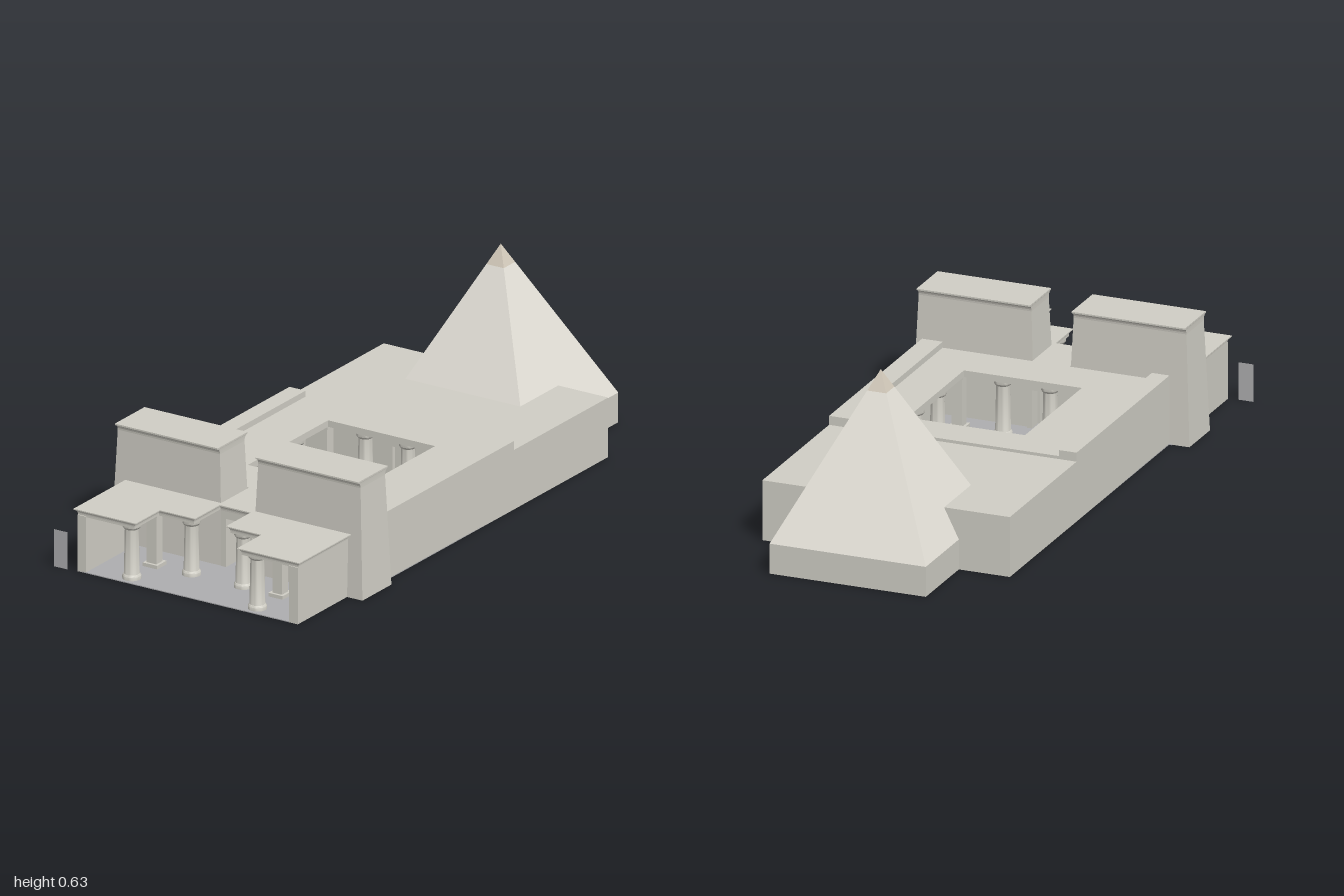
import * as THREE from 'three';
import { toCreasedNormals } from 'three/addons/utils/BufferGeometryUtils.js';

const mat = (color, extra = {}) => new THREE.MeshStandardMaterial({ color, ...extra });
const stone = mat(0xd0cec5, { flatShading: true });
const smoothStone = mat(0xd0cec5);
const casing = mat(0xe3e0d7, { flatShading: true });
const capStone = mat(0xd3cabb, { flatShading: true });
const paving = mat(0xaeaeb0);
const thin = mat(0xaeaeb0, { side: THREE.DoubleSide });

function add(parent, name, geometry, material = stone) {
  const mesh = new THREE.Mesh(geometry, material);
  mesh.name = name;
  parent.add(mesh);
  return mesh;
}

// Box given by its limits on each axis
function block(parent, name, [x0, x1], [y0, y1], [z0, z1], material = stone) {
  const g = new THREE.BoxGeometry(x1 - x0, y1 - y0, z1 - z0);
  g.translate((x0 + x1) / 2, (y0 + y1) / 2, (z0 + z1) / 2);
  return add(parent, name, g, material);
}

// Loft of an outline of [x, z, xSign, zSign]; each level [dx, dz, y] shifts the corners by their signs
function loft(outline, levels) {
  const flat = outline.map(p => new THREE.Vector2(p[0], p[1]));
  const pts = THREE.ShapeUtils.area(flat) < 0 ? [...outline].reverse() : outline;
  const rings = levels.map(([dx, dz, y]) => pts.map(([x, z, sx, sz]) => [x + sx * dx, y, z + sz * dz]));
  const pos = [];
  for (let l = 0; l < rings.length - 1; l++) {
    for (let i = 0; i < pts.length; i++) {
      const j = (i + 1) % pts.length;
      const [a0, b0, a1, b1] = [rings[l][i], rings[l][j], rings[l + 1][i], rings[l + 1][j]];
      pos.push(...a0, ...a1, ...b1, ...a0, ...b1, ...b0);
    }
  }
  const top = rings[rings.length - 1];
  const faces = THREE.ShapeUtils.triangulateShape(pts.map(p => new THREE.Vector2(p[0], p[1])), []);
  for (const [a, b, c] of faces) {
    pos.push(...rings[0][a], ...rings[0][b], ...rings[0][c]);
    pos.push(...top[a], ...top[c], ...top[b]);
  }
  const g = new THREE.BufferGeometry();
  g.setAttribute('position', new THREE.Float32BufferAttribute(pos, 3));
  g.computeVertexNormals();
  return g;
}

const rect = (x0, x1, z0, z1) => [[x0, z0, -1, -1], [x1, z0, 1, -1], [x1, z1, 1, 1], [x0, z1, -1, 1]];

// Concave flared cornice levels between two heights
function cavetto(y0, y1, fx, fz) {
  const levels = [[0, 0, y0]];
  const h = (y1 - y0) * 0.8;
  for (let i = 1; i <= 5; i++) {
    const a = (i / 5) * Math.PI / 2;
    const f = 1 - Math.cos(a);
    levels.push([fx * f, fz * f, y0 + h * Math.sin(a)]);
  }
  levels.push([fx, fz, y1]);
  return levels;
}

const columnProfile = [[0, 0], [0.03, 0], [0.03, 0.014], [0.027, 0.019], [0.025, 0.02], [0.022, 0.17],
  [0.025, 0.172], [0.029, 0.178], [0.029, 0.19], [0, 0.19]].map(p => new THREE.Vector2(...p));
const columnGeometry = toCreasedNormals(new THREE.LatheGeometry(columnProfile, 24), 0.6);

function column(parent, x, z) {
  add(parent, 'column', columnGeometry, smoothStone).position.set(x, 0, z);
}

function pillar(parent, x, z) {
  const g = new THREE.Group();
  g.name = 'squarePillar';
  g.position.set(x, 0, z);
  for (const [r, y0, y1] of [[0.027, 0, 0.015], [0.018, 0.015, 0.175], [0.025, 0.175, 0.19]])
    block(g, 'pillarBlock', [-r, r], [y0, y1], [-r, r]);
  parent.add(g);
}

// Door frame with two jambs, a lintel and a cornice
function portal(parent, name, x0, x1, h, z0, z1, jamb) {
  const g = new THREE.Group();
  g.name = name;
  const head = h - 0.045;
  block(g, 'jamb', [x0, x0 + jamb], [0, head], [z0, z1]);
  block(g, 'jamb', [x1 - jamb, x1], [0, head], [z0, z1]);
  block(g, 'lintel', [x0, x1], [head, h - 0.02], [z0, z1]);
  add(g, 'doorCornice', loft(rect(x0, x1, z0, z1), cavetto(h - 0.02, h, 0.006, 0.008)));
  parent.add(g);
}

// One half of the entrance: pylon tower and portico
function entranceHalf(side) {
  const g = new THREE.Group();
  g.name = side > 0 ? 'leftEntrance' : 'rightEntrance';
  g.position.x = 0.0125;
  g.scale.x = side;

  // Battered tower with cornice on front and back
  add(g, 'pylonTower', loft(rect(0.056, 0.47, 0.545, 0.71), [[0, 0, 0], [-0.0155, -0.013, 0.37]]));
  add(g, 'pylonCornice', loft(rect(0.0715, 0.4545, 0.558, 0.697), cavetto(0.37, 0.395, 0.001, 0.015)));

  // Portico side wall, columns and L-shaped roof
  block(g, 'porticoWall', [0.38, 0.4125], [0, 0.19], [0.7, 0.99]);
  column(g, 0.235, 0.95);
  column(g, 0.097, 0.82);
  pillar(g, 0.235, 0.82);
  const roof = [[0.068, 0.7, -1, 0], [0.4125, 0.7, 1, 0], [0.4125, 0.987, 1, 1],
    [0.2, 0.987, -1, 1], [0.2, 0.85, -1, 1], [0.068, 0.85, -1, 1]];
  add(g, 'porticoRoof', loft(roof, [[0, 0, 0.187], ...cavetto(0.193, 0.21, 0.01, 0.01)]));
  return g;
}

export function createModel() {
  const model = new THREE.Group();
  model.name = 'temple';

  // Entrance and gate
  model.add(entranceHalf(1), entranceHalf(-1));
  portal(model, 'gate', -0.045, 0.07, 0.21, 0.55, 0.712, 0.018);
  portal(model, 'innerGate', -0.025, 0.075, 0.175, 0.5, 0.545, 0.017);

  // Floors
  block(model, 'forecourtFloor', [-0.4, 0.425], [0, 0.003], [0.54, 0.99], paving);
  block(model, 'courtFloor', [-0.39, 0.45], [0, 0.003], [-0.2, 0.54], paving);

  // Court walls, taller than the roof between them
  block(model, 'courtWall', [-0.39, -0.33], [0, 0.23], [-0.2, 0.545]);
  block(model, 'courtWall', [0.38, 0.45], [0, 0.23], [-0.2, 0.545]);
  block(model, 'frontWall', [-0.33, -0.025], [0, 0.19], [0.51, 0.545]);
  block(model, 'frontWall', [0.075, 0.38], [0, 0.19], [0.51, 0.545]);

  // Court roof open to the sky in the middle
  const outline = [[-0.33, -0.545], [0.38, -0.545], [0.38, 0.2], [-0.33, 0.2]];
  const opening = [[-0.16, -0.385], [-0.16, 0.07], [0.24, 0.07], [0.24, -0.385]];
  const toPoints = list => list.map(p => new THREE.Vector2(...p));
  const roofShape = new THREE.Shape(toPoints(outline));
  roofShape.holes.push(new THREE.Path(toPoints(opening)));
  const roof = new THREE.ExtrudeGeometry(roofShape, { depth: 0.022, bevelEnabled: false });
  roof.rotateX(-Math.PI / 2);
  add(model, 'courtRoof', roof).position.y = 0.188;

  // Colonnade around the opening, square pillars at its corners
  const xs = [-0.19, -0.04, 0.12, 0.27];
  const zs = [-0.1, 0.07, 0.245, 0.415];
  xs.forEach((x, i) => zs.forEach((z, j) => {
    const edgeX = i === 0 || i === 3, edgeZ = j === 0 || j === 3;
    if (edgeX && edgeZ) pillar(model, x, z);
    else if (edgeX || edgeZ) column(model, x, z);
  }));

  // Rear sanctuary
  block(model, 'sanctuary', [-0.39, 0.45], [0, 0.2], [-0.735, -0.2]);
  portal(model, 'sanctuaryDoor', -0.01, 0.075, 0.165, -0.2, -0.185, 0.015);

  // Pyramid on a low plinth that is open underneath
  const pyramid = new THREE.Group();
  pyramid.name = 'pyramid';
  pyramid.position.set(0.048, 0, -0.735);
  const tier = (name, topHalf, bottomHalf, y0, y1, open, material) => {
    const k = Math.SQRT2;
    const g = new THREE.CylinderGeometry(topHalf * k, bottomHalf * k, y1 - y0, 4, 1, open);
    g.rotateY(Math.PI / 4);
    add(pyramid, name, g, material).position.y = (y0 + y1) / 2;
  };
  tier('plinth', 0.265, 0.265, 0, 0.1, true, stone);
  tier('pyramidBody', 0.0325, 0.265, 0.1, 0.565, false, casing);
  tier('pyramidCap', 0, 0.0325, 0.565, 0.63, false, capStone);
  model.add(pyramid);

  // Small upright slab beside the entrance
  add(model, 'standingPanel', new THREE.PlaneGeometry(0.052, 0.125), thin).position.set(-0.459, 0.0625, 0.995);

  return model;
}
